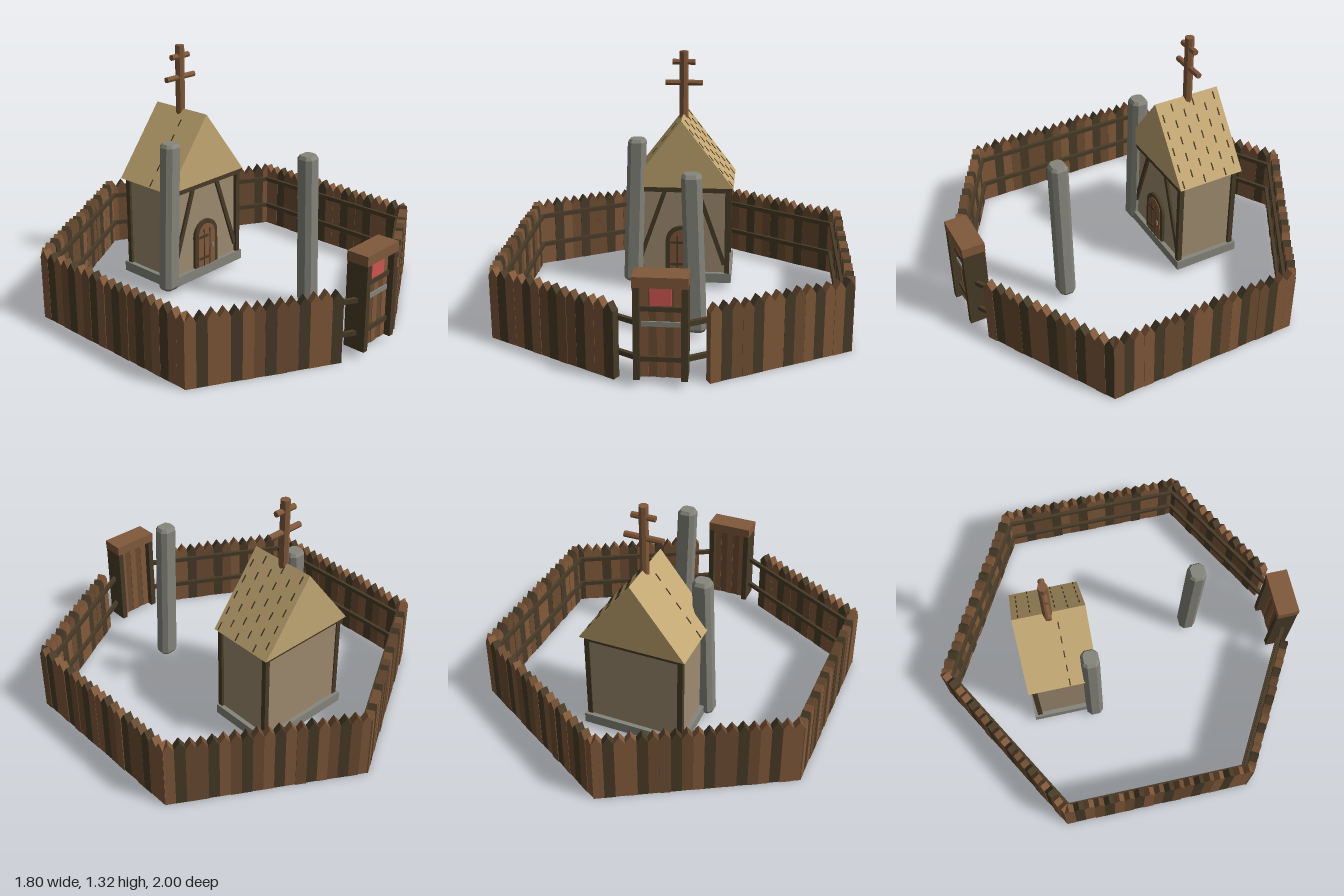
import * as THREE from 'three';

const mat = (name, color) => new THREE.MeshStandardMaterial({ name, color });

export function createModel() {
  const root = new THREE.Group();
  root.name = 'palisadeChapel';
  const M = {
    plank: mat('plankBrown', 0x80593a),
    plankMid: mat('plankMidBrown', 0x6b4c31),
    dark: mat('darkTimber', 0x483b27),
    wall: mat('claddingTan', 0x9d8a6f),
    thatch: mat('roofStraw', 0xc3a873),
    stone: mat('stoneGrey', 0x85857c),
    red: mat('redPanel', 0xcf5650),
  };
  const group = (name, parent = root) => {
    const g = new THREE.Group();
    g.name = name;
    parent.add(g);
    return g;
  };
  const mesh = (name, geo, material, parent, x = 0, y = 0, z = 0) => {
    const m = new THREE.Mesh(geo, material);
    m.name = name;
    m.position.set(x, y, z);
    parent.add(m);
    return m;
  };
  const box = (name, material, parent, w, h, d, x, y, z) =>
    mesh(name, new THREE.BoxGeometry(w, h, d), material, parent, x, y, z);
  const extrude = (pts, depth) => new THREE.ExtrudeGeometry(
    new THREE.Shape(pts.map(p => new THREE.Vector2(...p))), { depth, bevelEnabled: false });

  let seed = 11;
  const rand = () => (seed = (seed * 16807) % 2147483647) / 2147483647;

  // Palisade: pointed planks outside, two rails inside
  const fence = group('palisade');
  function fenceSide(ax, az, bx, bz, extendStart = 0, extendEnd = 0) {
    const side = group('fenceSide', fence);
    const len = Math.hypot(bx - ax, bz - az);
    side.position.set(ax, 0, az);
    side.rotation.y = Math.atan2(az - bz, bx - ax);
    const n = Math.round(len / 0.054), w = len / n;
    for (let i = 0; i < n; i++) {
      const h = 0.38 + rand() * 0.012, r = rand();
      const m = i % 3 === 1 ? M.dark : r < 0.55 ? M.plank : M.plankMid;
      const geo = extrude([[0, 0], [w, 0], [w, h - 0.04], [w / 2, h], [0, h - 0.04]], 0.042);
      mesh('plank', geo, m, side, i * w, 0, -0.042 - rand() * 0.005);
    }
    for (const y of [0.125, 0.3])
      box('rail', M.dark, side, len + extendStart + extendEnd, 0.024, 0.02,
        (len + extendEnd - extendStart) / 2, y, -0.052);
  }
  fenceSide(-0.9, 0.56, -0.225, 0.945, 0, 0.11);
  fenceSide(0.225, 0.945, 0.9, 0.56, 0.11, 0);
  fenceSide(0.9, 0.56, 0.9, -0.477);
  fenceSide(0.9, -0.477, 0, -0.998);
  fenceSide(0, -0.998, -0.9, -0.477);
  fenceSide(-0.9, -0.477, -0.9, 0.56);

  // Gate
  const gate = group('gate');
  for (const s of [-1, 1])
    box('gatePost', M.dark, gate, 0.03, 0.455, 0.118, s * 0.11, 0.2625, 0.94);
  box('gateLintel', M.plank, gate, 0.255, 0.052, 0.12, 0, 0.515, 0.94);
  for (let i = 0; i < 5; i++)
    box('gatePlank', i % 2 ? M.plankMid : M.plank, gate, 0.038, 0.455, 0.05 - (i % 2) * 0.006,
      -0.076 + i * 0.038, 0.2625, 0.94);
  for (const y of [0.13, 0.378])
    box('gateCrossbar', M.dark, gate, 0.19, 0.024, 0.014, 0, y, 0.969);
  box('gateStrap', M.stone, gate, 0.18, 0.024, 0.008, 0, 0.303, 0.968);
  box('gatePanel', M.red, gate, 0.1, 0.085, 0.008, 0, 0.437, 0.97);

  // Chapel body
  const chapel = group('chapel');
  chapel.position.z = -0.345;
  box('plinth', M.stone, chapel, 0.56, 0.055, 0.375, 0, 0.0625, 0);
  box('walls', M.wall, chapel, 0.51, 0.505, 0.328, 0, 0.3425, 0);
  for (const x of [-0.256, 0.256])
    for (const z of [-0.157, 0.17])
      box('cornerPost', M.dark, chapel, 0.027, 0.505, 0.027, x, 0.3425, z);
  for (const z of [-0.16, 0.172])
    box('wallPlate', M.dark, chapel, 0.535, 0.028, 0.024, 0, 0.578, z);
  for (const s of [-1, 1]) {
    const brace = box('brace', M.dark, chapel, 0.024, 0.45, 0.016, s * 0.167, 0.352, 0.168);
    brace.rotation.z = s * Math.atan2(0.148, 0.425);
  }

  // Arched door
  const arch = (r, straight, depth) => {
    const s = new THREE.Shape();
    s.moveTo(-r, 0);
    s.lineTo(r, 0);
    s.lineTo(r, straight);
    s.absarc(0, straight, r, 0, Math.PI, false);
    return new THREE.ExtrudeGeometry(s, { depth, bevelEnabled: false, curveSegments: 8 });
  };
  mesh('doorFrame', arch(0.088, 0.185, 0.02), M.dark, chapel, 0, 0.09, 0.16);
  mesh('door', arch(0.064, 0.185, 0.006), M.plank, chapel, 0, 0.09, 0.178);
  for (const x of [-0.022, 0.022])
    box('doorSeam', M.dark, chapel, 0.006, 0.22, 0.004, x, 0.2, 0.185);
  for (const y of [0.14, 0.27])
    box('doorHinge', M.dark, chapel, 0.07, 0.014, 0.005, -0.025, y, 0.186);
  box('doorHandle', M.stone, chapel, 0.012, 0.025, 0.008, 0.042, 0.2, 0.187);

  // Gable roof with thin shingle slits
  const half = 0.288, eave = 0.592, ridge = 0.968, angle = Math.atan2(ridge - eave, half);
  mesh('roof', extrude([[-half, eave], [half, eave], [0, ridge]], 0.378), M.thatch, chapel, 0, 0, -0.189);
  for (const s of [-1, 1]) {
    const slope = group('shingleMarks', chapel);
    slope.position.y = ridge;
    slope.rotation.z = -s * angle;
    for (let c = 0; c < 6; c++) {
      if (s < 0 && c !== 3) continue;
      for (let r = 0; r < 5; r++)
        box('shingleMark', M.dark, slope, 0.042, 0.006, 0.006,
          s * (0.04 + r * 0.09 + (c % 2) * 0.045), 0, -0.155 + c * 0.064);
    }
  }

  // Double-barred cross on the ridge
  const cross = group('roofCross');
  cross.position.z = -0.352;
  const pole = (name, r, len) => {
    const geo = new THREE.CylinderGeometry(r, r, len, 8).toNonIndexed();
    geo.computeVertexNormals();
    return mesh(name, geo, M.plank, cross);
  };
  pole('crossPost', 0.025, 0.4).position.y = 1.115;
  for (const [y, len] of [[1.14, 0.205], [1.255, 0.125]]) {
    const bar = pole('crossBar', 0.016, len);
    bar.position.y = y;
    bar.rotation.z = Math.PI / 2;
  }

  // Leaning standing stones: chamfered, slightly tapered
  function standingStone(topX, bottomX, z) {
    const a = 0.04, b = 0.034, c = 0.016;
    const s = new THREE.Shape([[-a, -b + c], [-a + c, -b], [a - c, -b], [a, -b + c],
      [a, b - c], [a - c, b], [-a + c, b], [-a, b - c]].map(p => new THREE.Vector2(...p)));
    const geo = new THREE.ExtrudeGeometry(s, {
      depth: 0.79, steps: 1, bevelThickness: 0.018, bevelSize: 0.012, bevelSegments: 1 });
    geo.rotateX(-Math.PI / 2);
    const p = geo.attributes.position;
    for (let i = 0; i < p.count; i++) {
      const t = p.getY(i) / 0.79;
      p.setX(i, p.getX(i) * (1 - 0.05 * t) + bottomX + (topX - bottomX) * t);
    }
    geo.computeVertexNormals();
    mesh('standingStone', geo, M.stone, root, 0, 0.052, z);
  }
  standingStone(0.1, 0.127, 0.455);
  standingStone(-0.243, -0.272, -0.188);

  return root;
}
